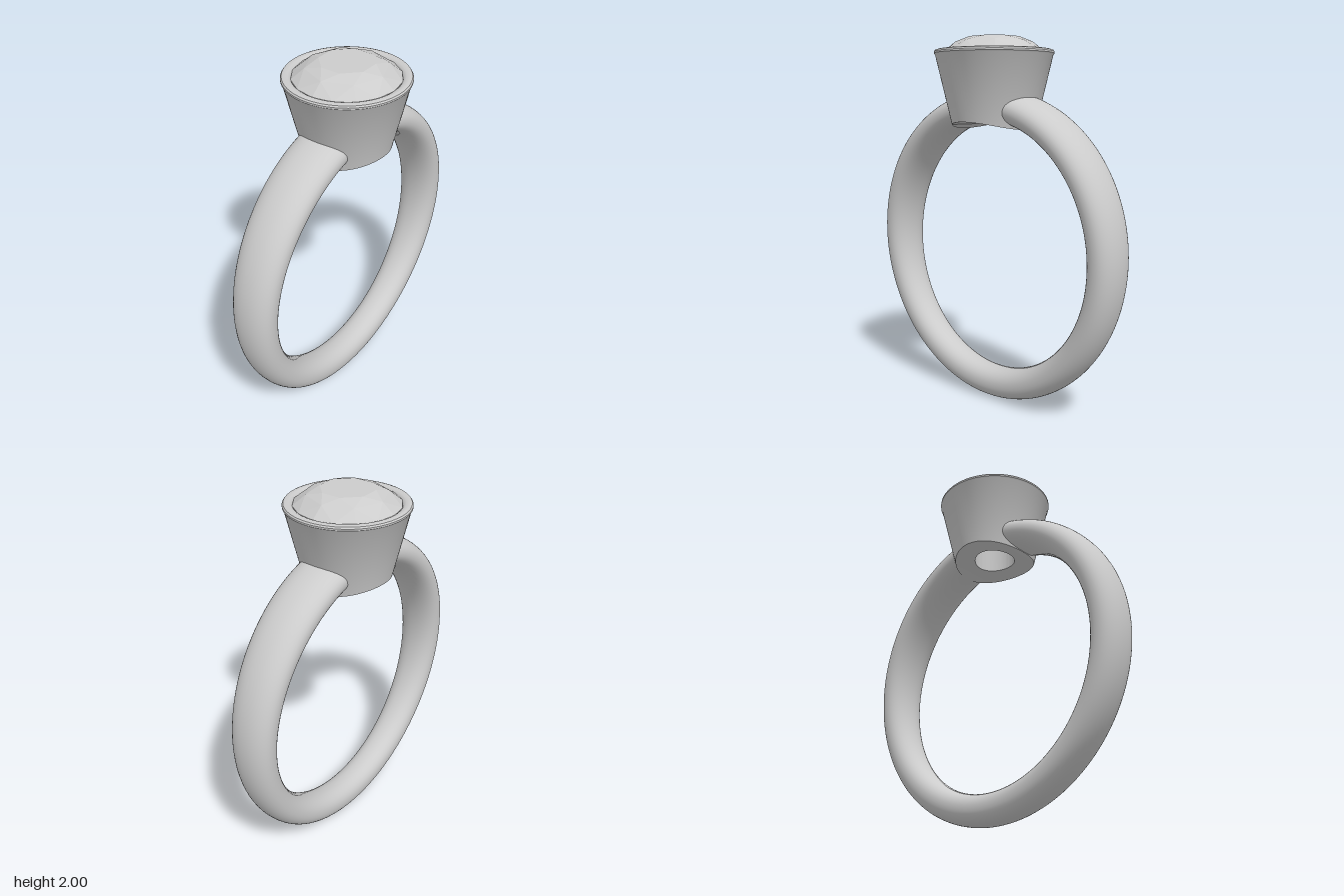
import * as THREE from 'three';
import { toCreasedNormals } from 'three/addons/utils/BufferGeometryUtils.js';
import { ConvexGeometry } from 'three/addons/geometries/ConvexGeometry.js';

const CENTER_Y = 0.86, INNER_R = 0.69, OUTER_R = 0.86;

// Open band: rounded cross-sections swept around the finger hole, wider towards the top
function shankGeometry() {
  const around = 144, sides = 40, gap = 0.24;
  const mid = (INNER_R + OUTER_R) / 2, half = (OUTER_R - INNER_R) / 2;
  const soften = v => Math.sign(v) * Math.pow(Math.abs(v), 0.92);
  const positions = [], indices = [];
  for (let i = 0; i <= around; i++) {
    const a = gap + (i / around) * (Math.PI * 2 - gap * 2);
    for (let j = 0; j < sides; j++) {
      const b = (j / sides) * Math.PI * 2;
      const r = mid + half * soften(Math.cos(b));
      const y = CENTER_Y + r * Math.cos(a);
      const width = 0.09 + 0.036 * (CENTER_Y + mid * Math.cos(a));
      positions.push(r * Math.sin(a), y, width * soften(Math.sin(b)));
      if (i < around) {
        const k = (j + 1) % sides;
        const p = i * sides + j, q = i * sides + k;
        indices.push(p, q, p + sides, q, q + sides, p + sides);
      }
    }
  }
  const geometry = new THREE.BufferGeometry();
  geometry.setAttribute('position', new THREE.Float32BufferAttribute(positions, 3));
  geometry.setIndex(indices);
  geometry.computeVertexNormals();
  return geometry;
}

// Tapered cup with a rolled lip, a seat and a through hole; its base follows the finger hole
function bezelGeometry() {
  const profile = [
    [0.115, 1.55], [0.155, 1.55], [0.195, 1.55], [0.234, 1.55],
    [0.318, 1.905], [0.324, 1.912], [0.324, 1.921], [0.318, 1.929], [0.305, 1.933],
    [0.288, 1.931], [0.276, 1.925], [0.27, 1.915], [0.27, 1.89],
    [0.115, 1.74], [0.115, 1.55],
  ].map(([r, y]) => new THREE.Vector2(r, y));
  const geometry = new THREE.LatheGeometry(profile, 96);
  const pos = geometry.attributes.position;
  for (let i = 0; i < pos.count; i++) {
    if (pos.getY(i) > 1.56) continue;
    const x = pos.getX(i), z = pos.getZ(i);
    const y = CENTER_Y + Math.sqrt(INNER_R * INNER_R - x * x);
    // keep the outer edge on the cone as the base dips
    const r = Math.hypot(x, z);
    const s = r > 0.2 ? 1 + (y - 1.55) : 1;
    pos.setXYZ(i, x * s, y, z * s);
  }
  return toCreasedNormals(geometry, 0.6);
}

// Round brilliant cut: table, crown, girdle, pavilion
function gemGeometry() {
  const points = [];
  const ring = (count, radius, y, turn) => {
    for (let i = 0; i < count; i++) {
      const a = ((i + turn) / count) * Math.PI * 2;
      points.push(new THREE.Vector3(Math.sin(a) * radius, y, Math.cos(a) * radius));
    }
  };
  ring(8, 0.142, 2.0, 0.5);
  ring(8, 0.208, 1.975, 0);
  ring(16, 0.275, 1.922, 0);
  ring(16, 0.275, 1.91, 0);
  points.push(new THREE.Vector3(0, 1.68, 0));
  return new ConvexGeometry(points);
}

export function createModel() {
  const group = new THREE.Group();
  group.name = 'ring';
  const metal = new THREE.MeshStandardMaterial({ color: 0xcccccc });
  const stone = new THREE.MeshStandardMaterial({ color: 0xcccccc, flatShading: true });
  const add = (name, geometry, material) => {
    const mesh = new THREE.Mesh(geometry, material);
    mesh.name = name;
    group.add(mesh);
  };
  add('shank', shankGeometry(), metal);
  add('bezel', bezelGeometry(), metal);
  add('gemstone', gemGeometry(), stone);
  return group;
}
